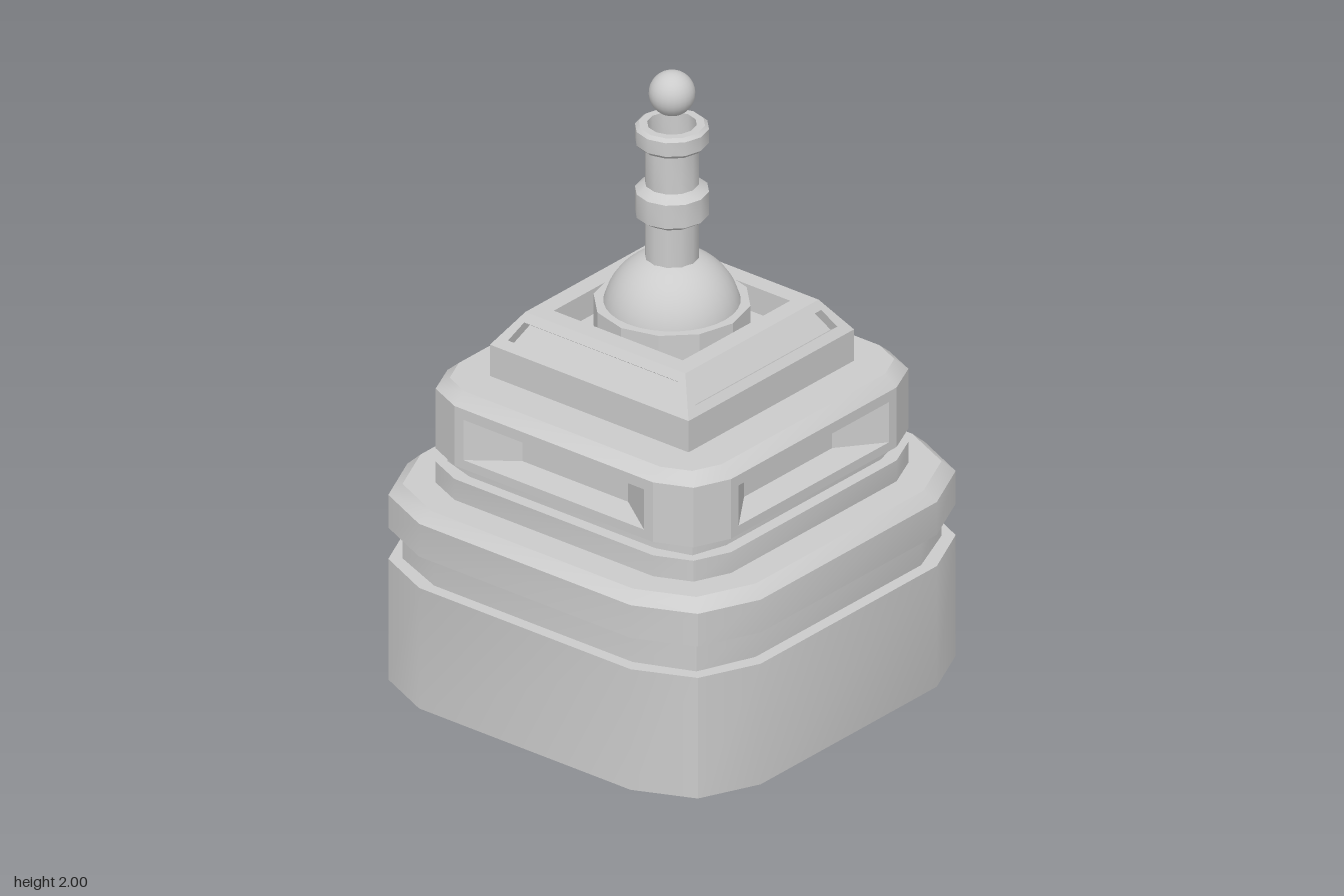
import * as THREE from 'three';
import { toCreasedNormals } from 'three/addons/utils/BufferGeometryUtils.js';

const material = new THREE.MeshStandardMaterial({ color: 0xcccccc, side: THREE.DoubleSide });
const CREASE = 0.6;

// Skins a series of matching point loops; optionally caps the last and leaves quads out
function loft(loops, { cap = false, skip = () => false } = {}) {
  const pos = [];
  const tri = (...pts) => pts.forEach((p) => pos.push(...p));
  for (let l = 0; l < loops.length - 1; l++) {
    const a = loops[l], b = loops[l + 1], n = a.length;
    for (let i = 0; i < n; i++) {
      if (skip(l, i)) continue;
      const j = (i + 1) % n;
      tri(a[i], a[j], b[j]);
      tri(a[i], b[j], b[i]);
    }
  }
  if (cap) {
    const e = loops[loops.length - 1];
    for (let i = 1; i < e.length - 1; i++) tri(e[0], e[i], e[i + 1]);
  }
  const geo = new THREE.BufferGeometry();
  geo.setAttribute('position', new THREE.Float32BufferAttribute(pos, 3));
  return toCreasedNormals(geo, CREASE);
}

// Repeats one quarter of an outline around the y axis
function ring(y, quarter) {
  const loop = [];
  for (let q = 0; q < 4; q++) {
    const c = [1, 0, -1, 0][q], s = [0, 1, 0, -1][q];
    for (const [x, z] of quarter) loop.push([x * c + z * s, y, z * c - x * s]);
  }
  return loop;
}
// Square with two-step corners: a = half width, k = corner point, c = half flat
const rounded = (y, a, k, c) => ring(y, [[c, a], [k, k], [a, c]]);
const square = (y, a) => ring(y, [[a, a]]);

// Symmetric four-corner loop facing the front
const panel = (x0, y0, z0, x1, y1, z1) =>
  [[-x0, y0, z0], [x0, y0, z0], [x1, y1, z1], [-x1, y1, z1]];

export function createModel() {
  const model = new THREE.Group();
  const add = (name, geometry, y = 0) => {
    const mesh = new THREE.Mesh(geometry, material);
    mesh.name = name;
    mesh.position.y = y;
    model.add(mesh);
    return mesh;
  };
  const addFourSides = (name, geometry) => {
    for (let q = 0; q < 4; q++) add(name, geometry).rotation.y = q * Math.PI / 2;
  };

  // Hollow lower tier, open underneath, with a groove below its cornice
  const wide = (y) => rounded(y, 0.685, 0.6, 0.41);
  const wideGroove = (y) => rounded(y, 0.645, 0.57, 0.385);
  add('lowerTier', loft([
    wide(0), wide(0.405), wideGroove(0.405), wideGroove(0.51), wide(0.51), wide(0.62),
    rounded(0.655, 0.65, 0.57, 0.39), rounded(0.655, 0.55, 0.5, 0.385),
  ]));

  // Middle tier; its flat walls are left open for the window panels
  const mid = (y) => rounded(y, 0.55, 0.5, 0.385);
  const midGroove = (y) => rounded(y, 0.51, 0.475, 0.36);
  add('middleTier', loft([
    mid(0.655), mid(0.725), midGroove(0.725), midGroove(0.77), mid(0.77), mid(0.97),
    rounded(1.005, 0.51, 0.47, 0.38),
  ], { cap: true, skip: (l, i) => l === 4 && i % 3 === 2 }));

  // Window niches with splayed sides
  addFourSides('windowNiche', loft([
    panel(0.385, 0.77, 0.55, 0.385, 0.97, 0.55),
    panel(0.35, 0.8, 0.55, 0.35, 0.935, 0.55),
    panel(0.205, 0.805, 0.45, 0.205, 0.92, 0.45),
  ], { cap: true }));

  // Square upper tier, sloping roof panels and the sunken top
  add('upperTier', loft([square(1.005, 0.385), square(1.11, 0.385)]));
  addFourSides('roofPanel', loft([
    panel(0.385, 1.11, 0.385, 0.31, 1.215, 0.31),
    panel(0.33, 1.135, 0.367, 0.3, 1.19, 0.328),
    panel(0.33, 1.116, 0.34, 0.3, 1.171, 0.301),
  ], { cap: true }));
  add('sunkenTop', loft([square(1.215, 0.31), square(1.215, 0.25), square(1.13, 0.25)], { cap: true }));

  // Dome on its twelve-sided ring
  add('domeRing', toCreasedNormals(new THREE.CylinderGeometry(0.237, 0.237, 0.105, 12), 0.4), 1.1825);
  add('dome', new THREE.SphereGeometry(0.21, 32, 12, 0, Math.PI * 2, 0, Math.PI / 2), 1.19);

  // Pole with collar and hollow cup, running down inside the tiers
  const profile = [
    [0, 0.43], [0.082, 0.43], [0.082, 1.51], [0.112, 1.53], [0.112, 1.608], [0.082, 1.63],
    [0.082, 1.76], [0.1, 1.76], [0.112, 1.772], [0.112, 1.818], [0.1, 1.828],
    [0.075, 1.828], [0.075, 1.74], [0, 1.74],
  ].map(([r, y]) => new THREE.Vector2(r, y));
  add('pole', toCreasedNormals(new THREE.LatheGeometry(profile, 12), CREASE));

  // Ball floating over the cup
  add('ball', new THREE.SphereGeometry(0.07, 24, 16), 1.93);

  return model;
}
